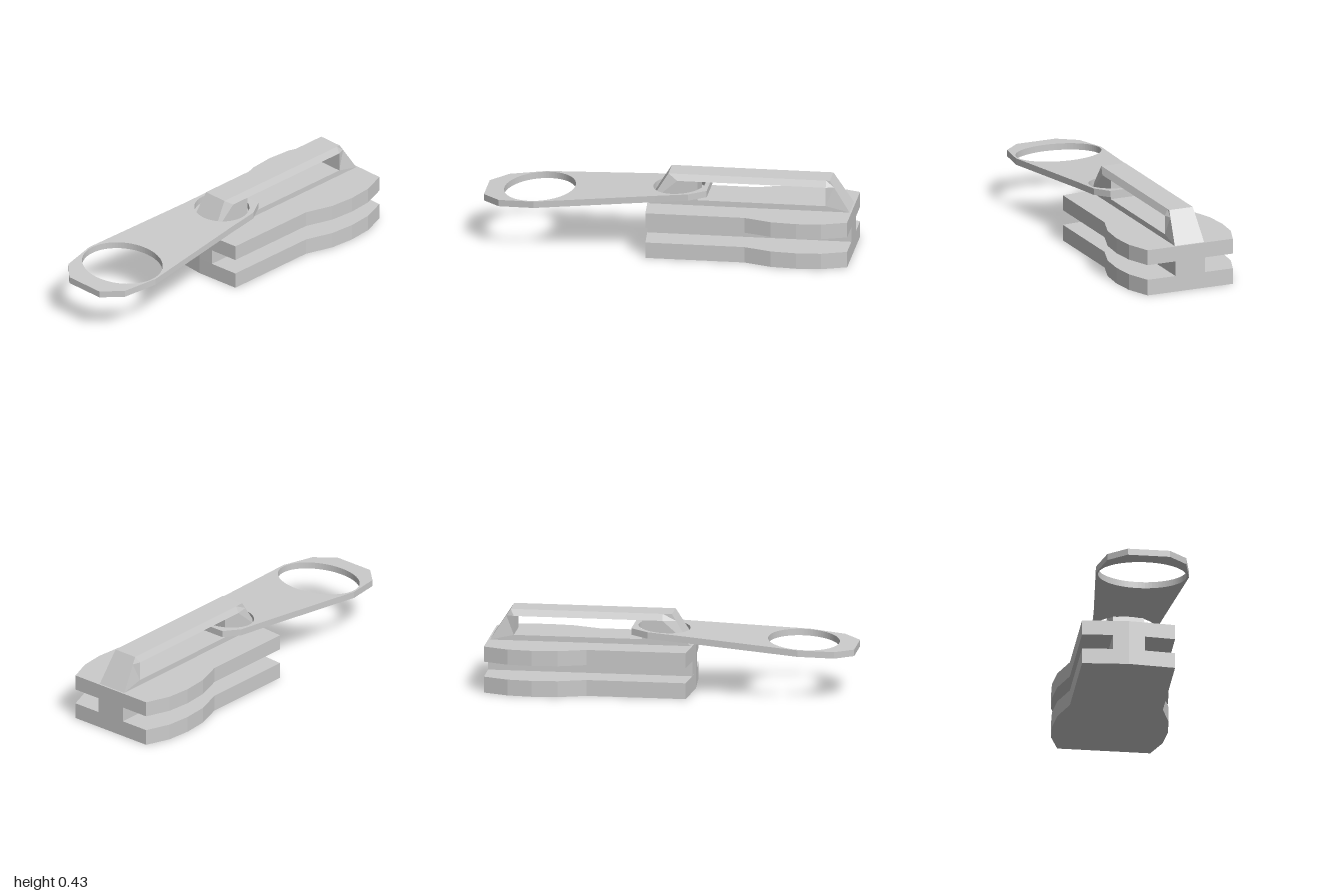
import * as THREE from 'three';

const W = 0.087; // half width of the web and the bridge

const material = () => new THREE.MeshStandardMaterial({ color: 0xcccccc, flatShading: true, side: THREE.DoubleSide });

// Mirrors half an outline of [x, z] points into a closed plan shape
function planShape(half) {
  const right = half.map(([x, z]) => new THREE.Vector2(x, -z));
  const left = half.filter(([x]) => x > 0).map(([x, z]) => new THREE.Vector2(-x, -z)).reverse();
  return new THREE.Shape([...right, ...left]);
}

// Extrudes a plan shape upward from y = 0
function slab(shape, height) {
  return new THREE.ExtrudeGeometry(shape, { depth: height, bevelEnabled: false, curveSegments: 40 }).rotateX(-Math.PI / 2);
}

// Moves every vertex by a rule, then refreshes the normals
function reshape(geometry, rule) {
  const p = geometry.attributes.position;
  const v = new THREE.Vector3();
  for (let i = 0; i < p.count; i++) {
    rule(v.fromBufferAttribute(p, i));
    p.setXYZ(i, v.x, v.y, v.z);
  }
  geometry.computeVertexNormals();
  return geometry;
}

export function createModel() {
  const group = new THREE.Group();
  const add = (name, geometry, y = 0) => {
    const mesh = new THREE.Mesh(geometry, material());
    mesh.name = name;
    mesh.position.y = y;
    group.add(mesh);
  };

  // Two waisted plates joined by a narrow web
  const plate = planShape([
    [0, 0.12], [0.253, 0.1], [0.253, -0.44], [0.303, -0.59],
    [0.315, -0.73], [0.303, -0.865], [0.253, -1],
  ]);
  add('lowerPlate', slab(plate, 0.088));
  add('upperPlate', slab(plate, 0.084), 0.171);
  add('web', slab(planShape([[0, 0.12], [W, 0.113], [W, -1]]), 0.084), 0.088);

  // Bridge posts and base rail: a side profile open at the top
  const profile = new THREE.Shape([
    [0.105, 0.255], [0.022, 0.39], [-0.05, 0.39], [-0.16, 0.39], [-0.16, 0.285],
    [-0.86, 0.285], [-0.86, 0.39], [-0.903, 0.39], [-0.99, 0.255],
  ].map(([z, y]) => new THREE.Vector2(z, y)));
  const posts = new THREE.ExtrudeGeometry(profile, { depth: 2 * W, bevelEnabled: false })
    .rotateY(-Math.PI / 2).translate(W, 0, 0);
  add('bridgePosts', reshape(posts, (v) => {
    if (v.y > 0.38 && (v.z > 0 || v.z < -0.9)) v.x = Math.sign(v.x) * 0.0735;
  }));

  // Chamfered beam across the top of the bridge
  const beam = slab(planShape([[0.0735, 0.022], [W, -0.05], [W, -0.86], [0.0735, -0.903]]), 0.035);
  add('bridgeBeam', reshape(beam, (v) => {
    if (v.y > 0.01) {
      v.x = Math.sign(v.x) * 0.07;
      v.z = THREE.MathUtils.clamp(v.z, -0.88, 0);
    }
  }), 0.39);

  // Pull tab with a finger hole and a bridge hole, sloping down to the front
  const tab = planShape([
    [0.115, 1], [0.215, 0.905], [0.253, 0.71], [0.185, 0.06], [0.17, -0.12], [0.115, -0.215],
  ]);
  for (const [z, rx, rz] of [[0.71, 0.24, 0.193], [-0.05, 0.157, 0.14]]) {
    tab.holes.push(new THREE.Path().absellipse(0, -z, rx, rz, 0, Math.PI * 2, true));
  }
  add('pullTab', reshape(slab(tab, 0.036), (v) => {
    v.y += 0.237 + (1 - v.z) * 0.064;
  }));

  return group;
}
